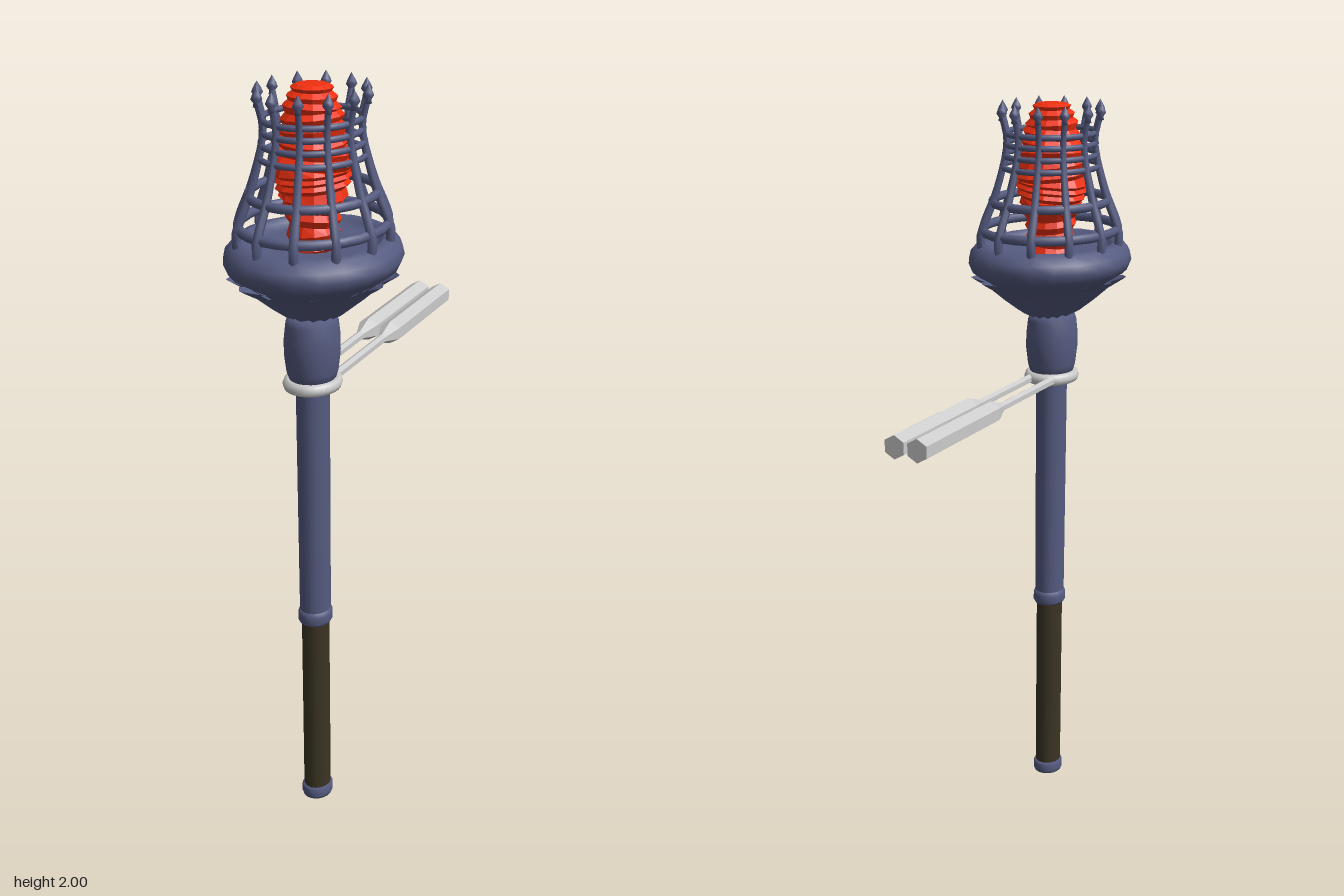
import * as THREE from 'three';

const V2 = (p) => new THREE.Vector2(p[0], p[1]);
const material = (color, extra = {}) => new THREE.MeshStandardMaterial({ color, ...extra });
const slate = material(0x555b80);
const slateFlat = material(0x555b80, { flatShading: true, side: THREE.DoubleSide });
const dark = material(0x3a3422);
const ember = material(0xf03010, { flatShading: true });
const pale = material(0xcccccc);
const paleFlat = material(0xcccccc, { flatShading: true });

function add(parent, name, geometry, mat) {
  const mesh = new THREE.Mesh(geometry, mat);
  mesh.name = name;
  parent.add(mesh);
  return mesh;
}

// Profile points are [radius, height], bottom to top.
const lathe = (points, sides = 20) => new THREE.LatheGeometry(points.map(V2), sides);

function ring(parent, name, radius, y, tube, mat, height = 1) {
  const mesh = add(parent, name, new THREE.TorusGeometry(radius, tube, 8, 28), mat);
  mesh.rotation.x = Math.PI / 2;
  mesh.scale.z = height;
  mesh.position.y = y;
  return mesh;
}

// One leaf of the calyx: three points per row, folded along a ridge.
function petalGeometry() {
  const rows = [ // radius, height, half width, ridge depth
    [0.060, 1.425, 0.014, 0.004], [0.095, 1.445, 0.026, 0.010], [0.140, 1.478, 0.042, 0.014],
    [0.185, 1.512, 0.050, 0.012], [0.222, 1.530, 0.036, 0.006], [0.240, 1.538, 0.004, 0.000],
  ];
  const pos = [], index = [];
  rows.forEach(([r, y, w, d], i) => {
    pos.push(-w, y + d, r - d * 0.5, 0, y - d * 0.5, r, w, y + d, r - d * 0.5);
    if (i === 0) return;
    for (let k = 0; k < 2; k++) {
      const a = (i - 1) * 3 + k, b = a + 1, c = a + 3, e = a + 4;
      index.push(a, c, b, b, c, e);
    }
  });
  const g = new THREE.BufferGeometry();
  g.setAttribute('position', new THREE.Float32BufferAttribute(pos, 3));
  g.setIndex(index);
  g.computeVertexNormals();
  return g;
}

// Tube that narrows toward its end.
function barGeometry() {
  const path = [[0.205, 1.59], [0.214, 1.65], [0.200, 1.69], [0.177, 1.74], [0.156, 1.80],
    [0.140, 1.86], [0.136, 1.91], [0.150, 1.965]].map(([r, y]) => new THREE.Vector3(0, y, r));
  const curve = new THREE.CatmullRomCurve3(path);
  const g = new THREE.TubeGeometry(curve, 18, 0.014, 7, false);
  const p = g.attributes.position, v = new THREE.Vector3();
  for (let i = 0; i < p.count; i++) {
    const t = Math.floor(i / 8) / 18;
    const centre = curve.getPointAt(t);
    v.fromBufferAttribute(p, i).sub(centre).multiplyScalar(1 - 0.4 * t).add(centre);
    p.setXYZ(i, v.x, v.y, v.z);
  }
  g.computeVertexNormals();
  return g;
}

function buildStaff() {
  const staff = new THREE.Group();
  staff.name = 'staff';
  add(staff, 'endCap', lathe([[0, 0], [0.02, 0.006], [0.044, 0.012], [0.047, 0.02], [0.047, 0.038],
    [0.042, 0.046], [0, 0.046]]), slate);
  add(staff, 'grip', new THREE.CylinderGeometry(0.041, 0.041, 0.53, 16), dark).position.y = 0.305;
  add(staff, 'shaftFoot', lathe([[0.03, 0.562], [0.046, 0.564], [0.051, 0.572], [0.051, 0.592],
    [0.046, 0.604], [0.03, 0.606]]), slate);
  add(staff, 'shaft', new THREE.CylinderGeometry(0.048, 0.046, 0.67, 20), slate).position.y = 0.925;
  add(staff, 'neck', lathe([[0.045, 1.25], [0.064, 1.258], [0.073, 1.285], [0.079, 1.33], [0.079, 1.37],
    [0.074, 1.41], [0.066, 1.43], [0, 1.435]]), slate);
  ring(staff, 'bandRing', 0.069, 1.25, 0.015, pale, 1.1);
  return staff;
}

function buildHead() {
  const head = new THREE.Group();
  head.name = 'head';
  add(head, 'bowl', lathe([[0, 1.425], [0.06, 1.43], [0.10, 1.46], [0.15, 1.505], [0.205, 1.535],
    [0.236, 1.552], [0.248, 1.578], [0.242, 1.602], [0.222, 1.622], [0.198, 1.628],
    [0.182, 1.618], [0.168, 1.602], [0, 1.598]], 22), slate);

  // Calyx of folded leaves
  const petal = petalGeometry();
  for (let i = 0; i < 14; i++) {
    add(head, 'petal', petal, slateFlat).rotation.y = (i / 14) * Math.PI * 2;
  }

  // Cage of curved bars with pointed finials
  const bar = barGeometry();
  const finial = lathe([[0, 1.950], [0.010, 1.953], [0.008, 1.962], [0.016, 1.972], [0.012, 1.981],
    [0, 2.0]], 7);
  for (let i = 0; i < 12; i++) {
    const spoke = new THREE.Group();
    spoke.name = 'cageBar';
    spoke.rotation.y = ((i + 0.5) / 12) * Math.PI * 2;
    add(spoke, 'bar', bar, slate);
    add(spoke, 'finial', finial, slate).position.z = 0.15;
    head.add(spoke);
  }
  [[0.204, 1.662, 0.013], [0.175, 1.738, 0.012], [0.146, 1.83, 0.008], [0.139, 1.86, 0.008],
    [0.135, 1.89, 0.008], [0.134, 1.918, 0.008]]
    .forEach(([r, y, tube]) => ring(head, 'cageRing', r, y, tube, slate));
  return head;
}

// Ridged flame core: a swelling outline with slightly tilted stacked layers
function flameGeometry() {
  const outline = new THREE.SplineCurve([[0.058, 1.59], [0.064, 1.68], [0.085, 1.75], [0.094, 1.80],
    [0.080, 1.87], [0.066, 1.94], [0.042, 1.995]].map(V2));
  const points = [[0, 1.59]];
  const steps = 32;
  for (let i = 0; i <= steps; i++) {
    const p = outline.getPoint(i / steps);
    points.push([p.x + (i % 2 && i < steps ? 0.007 : -0.003), p.y]);
  }
  points.push([0, 1.997]);
  const g = lathe(points, 13);
  const pos = g.attributes.position;
  for (let i = 0; i < pos.count; i++) {
    const x = pos.getX(i), y = pos.getY(i), z = pos.getZ(i);
    const fade = Math.min(1, (1.997 - y) * 12);
    const turn = Math.floor((y - 1.59) / 0.05) * 2.1;
    pos.setY(i, y + fade * 0.09 * (x * Math.cos(turn) + z * Math.sin(turn)));
  }
  g.computeVertexNormals();
  return g;
}

// Six-sided arm: thin rod, taper, then thick grip, running toward -z
function armGeometry() {
  const g = lathe([[0, -0.205], [0.0125, -0.205], [0.0125, 0.09], [0.031, 0.145], [0.031, 0.509],
    [0, 0.509]], 6);
  return g.rotateX(-Math.PI / 2);
}

export function createModel() {
  const model = new THREE.Group();
  model.name = 'torch';

  const staff = buildStaff();
  staff.scale.x = 0.88;
  staff.position.set(-0.003, 0, 0.266);
  model.add(staff);

  const head = buildHead();
  head.scale.x = 0.87;
  head.position.z = 0.256;
  model.add(head);

  add(model, 'flame', flameGeometry(), ember).position.set(-0.003, 0, 0.252);

  const arm = armGeometry();
  for (const x of [-0.034, 0.03]) {
    add(model, 'bandArm', arm, paleFlat).position.set(x, 1.25, 0);
  }
  return model;
}
